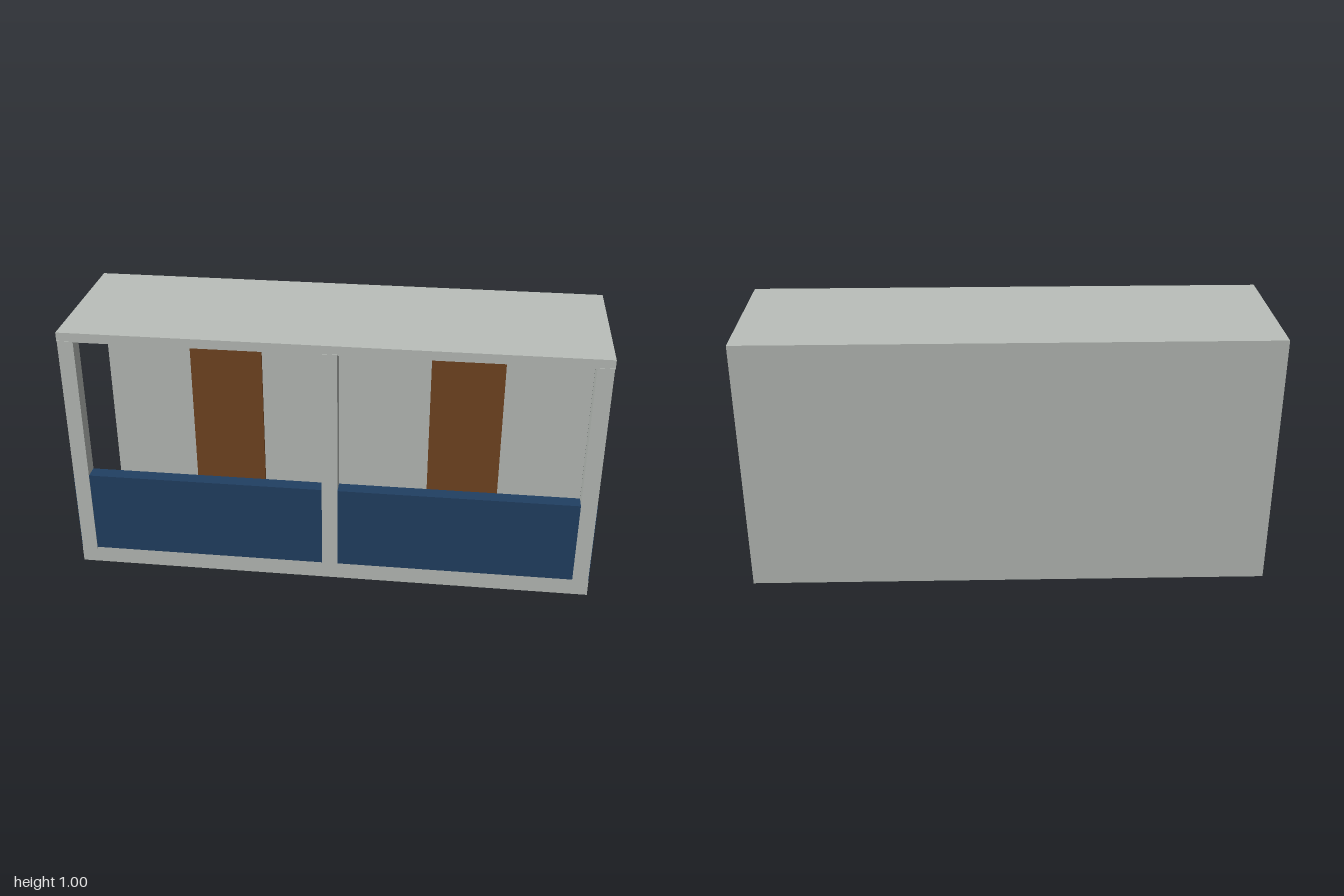
import * as THREE from 'three';

export function createModel() {
  const group = new THREE.Group();
  const material = (name, color) => {
    const m = new THREE.MeshStandardMaterial({ color });
    m.name = name;
    return m;
  };
  const concrete = material('concrete grey', 0xbabfba);
  const blue = material('parapet blue', 0x214063);
  const brown = material('door brown', 0x724522);

  // Box given by its lower and upper corners
  const box = (name, mat, [x0, y0, z0], [x1, y1, z1]) => {
    const mesh = new THREE.Mesh(new THREE.BoxGeometry(x1 - x0, y1 - y0, z1 - z0), mat);
    mesh.position.set((x0 + x1) / 2, (y0 + y1) / 2, (z0 + z1) / 2);
    mesh.name = name;
    group.add(mesh);
  };

  const floorTop = 0.067;
  const roofBottom = 0.964;

  // Shell: floor slab, roof slab and back wall, open at front and ends
  box('floorSlab', concrete, [-1, 0, -0.3], [1, floorTop, 0.3]);
  box('roofSlab', concrete, [-1, roofBottom, -0.3], [1, 1, 0.3]);
  box('backWall', concrete, [-1, floorTop, -0.3], [1, roofBottom, -0.255]);

  // Parapet running the full width, exposed at both ends
  box('parapet', blue, [-1, floorTop, 0.245], [1, 0.4, 0.3]);

  // Pillars stand slightly proud of the parapet, front and back
  for (const x of [-0.968, 0, 0.968]) {
    box('pillar', concrete, [x - 0.03, 0.06, 0.243], [x + 0.03, 0.968, 0.302]);
  }

  // Doors on the inside of the back wall
  for (const x of [-0.5, 0.5]) {
    box('door', brown, [x - 0.15, floorTop, -0.255], [x + 0.15, 0.735, -0.246]);
  }

  return group;
}
